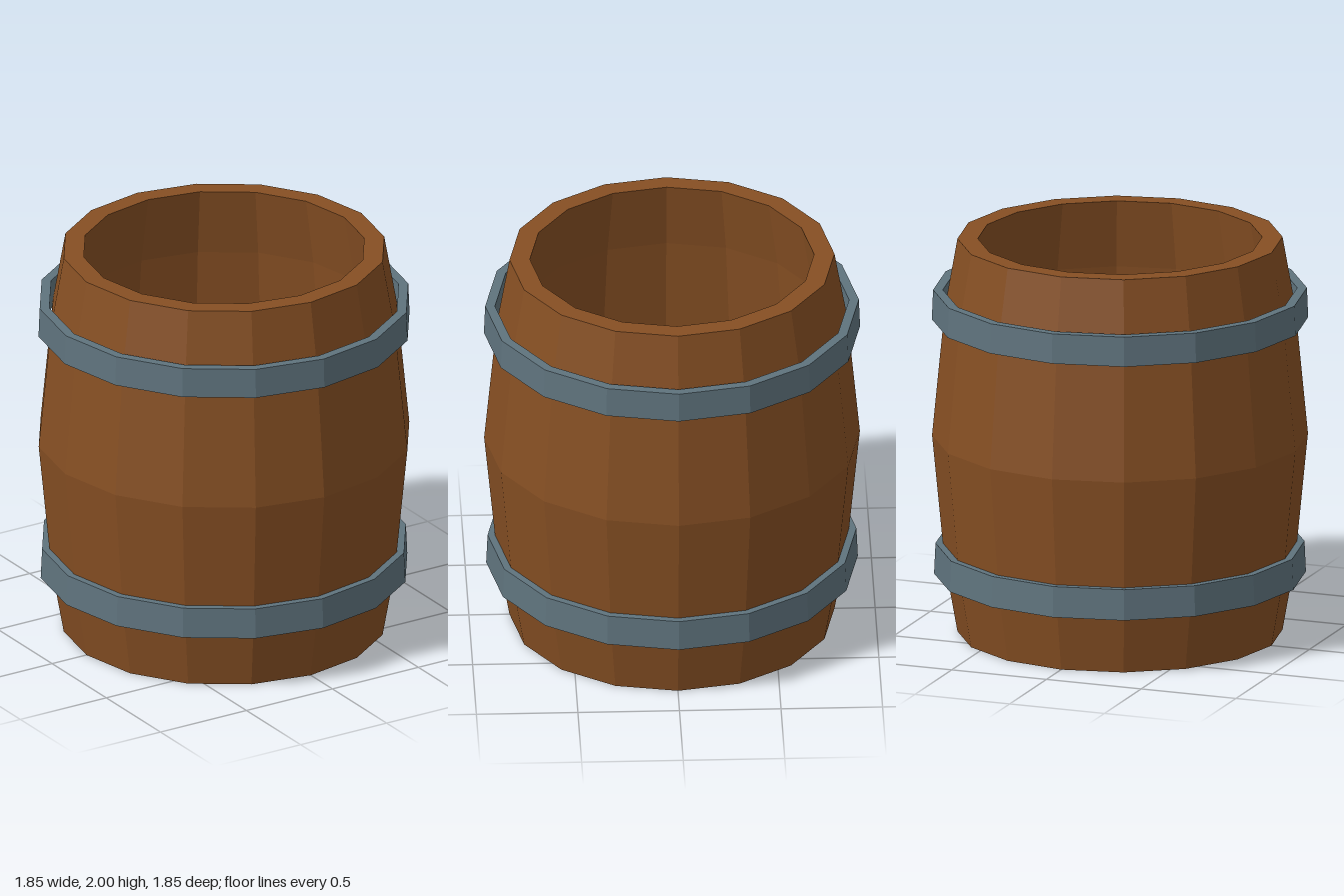
import * as THREE from 'three';

const SIDES = 16;

export function createModel() {
  const wood = new THREE.MeshStandardMaterial({ color: 0x864f23, flatShading: true });
  wood.name = 'brown wood';
  const iron = new THREE.MeshStandardMaterial({ color: 0x5f737d, flatShading: true });
  iron.name = 'blue grey iron';

  const barrel = new THREE.Group();
  barrel.name = 'barrel';

  const add = (name, geometry, material) => {
    const mesh = new THREE.Mesh(geometry, material);
    mesh.name = name;
    barrel.add(mesh);
    return mesh;
  };
  // Closed profile of [radius, height]: up the outside, down the inside
  const ring = (profile) => new THREE.LatheGeometry(
    [...profile, profile[0]].map(([r, y]) => new THREE.Vector2(r, y)), SIDES);

  // Hollow bulging wall with flat rims
  const outer = [[0.8, 0], [0.862, 0.35], [0.925, 1], [0.862, 1.65], [0.8, 2]];
  const inner = outer.map(([r, y]) => [r - 0.1, y]).reverse();
  add('staves', ring([...outer, ...inner]), wood);

  // Slightly recessed floor
  const floor = add('floor', new THREE.CylinderGeometry(0.708, 0.705, 0.03, SIDES), wood);
  floor.position.y = 0.04;

  // Hoops, a little wider at their lower edge
  const hoops = [
    ['upperHoop', 1.59, 1.74, 0.926, 0.92, 0.872],
    ['lowerHoop', 0.295, 0.45, 0.915, 0.908, 0.866],
  ];
  for (const [name, y0, y1, rBottom, rTop, rInner] of hoops) {
    add(name, ring([[rBottom, y0], [rTop, y1], [rInner, y1], [rInner, y0]]), iron);
  }
  return barrel;
}
